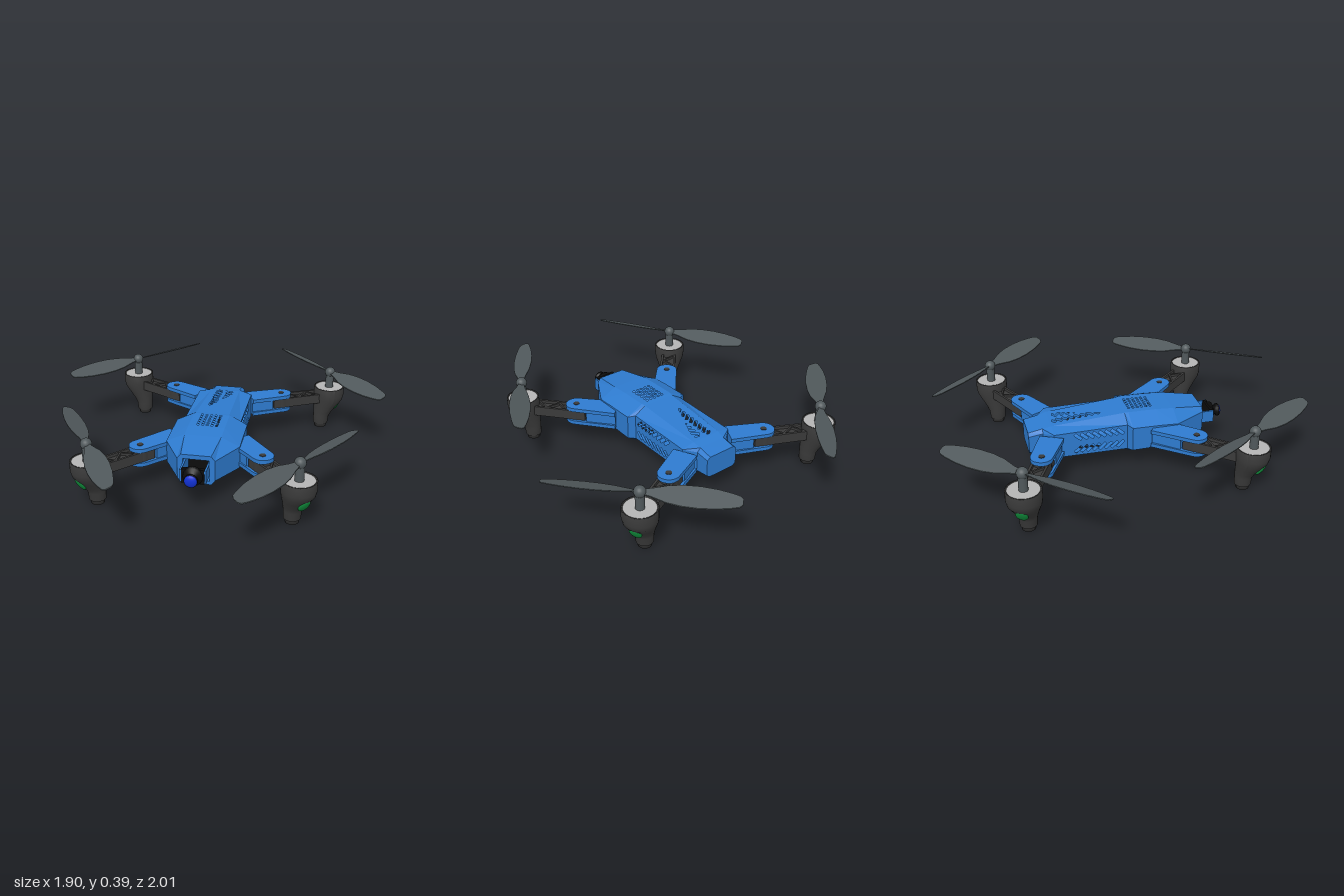
import * as THREE from 'three';

const mat = (color, opts = {}) => new THREE.MeshStandardMaterial({ color, ...opts });
const BLUE = mat(0x2e7bcf, { flatShading: true, side: THREE.DoubleSide });
const DARK = mat(0x3a3a3a);
const GREY = mat(0xb4b4b4);
const PROP = mat(0x50585b, { side: THREE.DoubleSide });
const GREEN = mat(0x0f8a3a);
const BLACK = mat(0x0c0c0c);
const LENS = mat(0x1030d0);

function add(parent, name, geo, material, x = 0, y = 0, z = 0) {
  const m = new THREE.Mesh(geo, material);
  m.name = name;
  m.position.set(x, y, z);
  parent.add(m);
  return m;
}
const poly = pts => new THREE.Shape(pts.map(p => new THREE.Vector2(p[0], p[1])));
const path = pts => new THREE.Path(pts.map(p => new THREE.Vector2(p[0], p[1])));

// Slanted slot from a to b with half width w
function slot(a, b, w) {
  const dx = b[0] - a[0], dy = b[1] - a[1], l = Math.hypot(dx, dy);
  const nx = -dy / l * w, ny = dx / l * w;
  return path([[a[0] + nx, a[1] + ny], [b[0] + nx, b[1] + ny], [b[0] - nx, b[1] - ny], [a[0] - nx, a[1] - ny]]);
}

// Extrude a plan outline (x, z) between two heights
function slab(shape, y0, y1) {
  const g = new THREE.ExtrudeGeometry(shape, { depth: y1 - y0, bevelEnabled: false, curveSegments: 16 });
  return g.rotateX(Math.PI / 2).translate(0, y1, 0);
}

// Body stations: z, top half width, side half width, top, upper shoulder, lower shoulder, bottom
const STATIONS = [
  [-0.54, 0.08, 0.10, 0.255, 0.240, 0.145, 0.130],
  [-0.46, 0.08, 0.10, 0.270, 0.250, 0.135, 0.118],
  [-0.41, 0.085, 0.16, 0.282, 0.266, 0.124, 0.108],
  [0.00, 0.095, 0.16, 0.312, 0.270, 0.120, 0.079],
  [0.02, 0.10, 0.20, 0.315, 0.266, 0.128, 0.076],
  [0.18, 0.10, 0.20, 0.312, 0.263, 0.130, 0.080],
  [0.28, 0.10, 0.20, 0.305, 0.258, 0.133, 0.087],
  [0.46, 0.08, 0.10, 0.280, 0.255, 0.140, 0.115],
];

// Vent holes of the flat panels, grouped by body segment
function topHoles(seg) {
  const holes = [];
  if (seg === 2) {
    for (let i = 0; i < 10; i++) for (const s of [-1, 1]) {
      const z = -0.378 + i * 0.035;
      holes.push(slot([s * 0.048, z], [s * 0.014, z - 0.03], 0.0075));
    }
  }
  if (seg === 4) {
    for (let i = 0; i < 5; i++) for (let j = 0; j < 6; j++) {
      const h = new THREE.Path();
      h.absarc((i - 2) * 0.026, 0.035 + j * 0.025, 0.0075, 0, Math.PI * 2);
      holes.push(h);
    }
  }
  return holes;
}
function sideHoles(seg) {
  const holes = [];
  if (seg === 2) {
    for (let i = 0; i < 8; i++) {
      const z = -0.022 - i * 0.034;
      holes.push(slot([z, 0.219], [z - 0.037, 0.253], 0.008));
      holes.push(slot([z, 0.176], [z - 0.037, 0.142], 0.008));
    }
  }
  return holes;
}

function panel(outline, holes, place) {
  const shape = poly(outline);
  shape.holes.push(...holes);
  const g = new THREE.ShapeGeometry(shape, 4), p = g.attributes.position;
  for (let i = 0; i < p.count; i++) p.setXYZ(i, ...place(p.getX(i), p.getY(i)));
  g.computeVertexNormals();
  return g;
}

function buildBody() {
  const body = new THREE.Group();
  body.name = 'body';
  for (let i = 0; i < STATIONS.length - 1; i++) {
    const a = STATIONS[i], b = STATIONS[i + 1];
    const at = (z, k) => a[k] + (b[k] - a[k]) * (z - a[0]) / (b[0] - a[0]);
    // Top and bottom panels
    for (const [name, k] of [['topPanel', 3], ['bottomPanel', 6]]) {
      const outline = [[-a[1], a[0]], [a[1], a[0]], [b[1], b[0]], [-b[1], b[0]]];
      add(body, name, panel(outline, topHoles(i), (x, z) => [x, at(z, k), z]), BLUE);
    }
    for (const s of [-1, 1]) {
      // Side panels and the sloping strips above and below
      const outline = [[a[0], a[5]], [b[0], b[5]], [b[0], b[4]], [a[0], a[4]]];
      add(body, 'sidePanel', panel(outline, sideHoles(i), (z, y) => [s * at(z, 2), y, z]), BLUE);
      for (const [kFlat, kSide] of [[3, 4], [6, 5]]) {
        const strip = panel([[0, a[0]], [1, a[0]], [1, b[0]], [0, b[0]]], [], (t, z) => [
          s * (at(z, 1) + (at(z, 2) - at(z, 1)) * t), at(z, kFlat) + (at(z, kSide) - at(z, kFlat)) * t, z]);
        add(body, 'slopedStrip', strip, BLUE);
      }
    }
  }
  // Tail cap and front frame
  const section = ([, t, w, y3, y2, y1, y0]) =>
    [[-t, y0], [t, y0], [w, y1], [w, y2], [t, y3], [-t, y3], [-w, y2], [-w, y1]];
  add(body, 'tailCap', new THREE.ShapeGeometry(poly(section(STATIONS[0]))), BLUE, 0, 0, -0.54);
  const opening = [[-0.07, 0.135], [0.07, 0.135], [0.07, 0.255], [-0.07, 0.255]];
  const frame = poly(section(STATIONS[7]));
  frame.holes.push(path(opening));
  add(body, 'frontFrame', new THREE.ShapeGeometry(frame), BLUE, 0, 0, 0.46);
  const tunnel = poly([[-0.078, 0.127], [0.078, 0.127], [0.078, 0.263], [-0.078, 0.263]]);
  tunnel.holes.push(path(opening));
  add(body, 'frontRecess', new THREE.ExtrudeGeometry(tunnel, { depth: 0.1, bevelEnabled: false }), BLUE, 0, 0, 0.359);
  add(body, 'recessBack', new THREE.BoxGeometry(0.15, 0.13, 0.01), BLACK, 0, 0.195, 0.365);
  return body;
}

function buildCamera() {
  const cam = new THREE.Group();
  cam.name = 'camera';
  for (const s of [-1, 1]) add(cam, 'cameraBracket', new THREE.BoxGeometry(0.01, 0.07, 0.17), BLUE, s * 0.065, 0.2, 0.455);
  add(cam, 'cameraHousing', new THREE.BoxGeometry(0.12, 0.08, 0.022), BLACK, 0, 0.2, 0.53);
  const profile = [[0, 0.53], [0.055, 0.53], [0.05, 0.55], [0.025, 0.565], [0.025, 0.575], [0.036, 0.58], [0.036, 0.592], [0, 0.592]];
  const barrel = new THREE.LatheGeometry(profile.map(p => new THREE.Vector2(...p)), 24).rotateX(Math.PI / 2);
  add(cam, 'cameraBarrel', barrel, BLACK, 0, 0.2, 0);
  add(cam, 'cameraLens', new THREE.SphereGeometry(0.034, 24, 16).scale(1, 1, 0.45), LENS, 0, 0.2, 0.59);
  return cam;
}

// Motor pod profile: radius, height, offset toward the body
const POD = [[0, 0, -0.045], [0.036, 0, -0.045], [0.038, 0.022, -0.045], [0.045, 0.024, -0.045], [0.048, 0.07, -0.043],
  [0.056, 0.1, -0.035], [0.073, 0.145, -0.017], [0.087, 0.18, -0.003], [0.092, 0.21, 0], [0.092, 0.262, 0], [0.083, 0.262, 0], [0.083, 0.25, 0]];

function buildPod(x) {
  const pod = new THREE.Group();
  pod.name = 'motorPod';
  pod.position.x = x;
  const g = new THREE.LatheGeometry(POD.map(p => new THREE.Vector2(p[0], p[1])), 32);
  const p = g.attributes.position;
  for (let i = 0; i < p.count; i++) p.setX(i, p.getX(i) + POD[i % POD.length][2]);
  g.computeVertexNormals();
  add(pod, 'podShell', g, DARK);
  add(pod, 'podCover', new THREE.CylinderGeometry(0.083, 0.083, 0.02, 32), GREY, 0, 0.249, 0);
  const lamp = add(pod, 'lamp', new THREE.SphereGeometry(1, 20, 14), GREEN, 0.05, 0.14, 0);
  lamp.scale.set(0.014, 0.046, 0.032);
  lamp.rotation.z = -0.55;
  add(pod, 'motorShaft', new THREE.CylinderGeometry(0.024, 0.024, 0.1, 20), PROP, 0, 0.3, 0);
  add(pod, 'propellerHub', new THREE.SphereGeometry(0.031, 20, 14), PROP, 0, 0.355, 0);
  return pod;
}

// Two opposite pitched blades; hand sets the direction of pitch
function buildPropeller(hand) {
  const prop = new THREE.Group();
  prop.name = 'propeller';
  const half = [[0.01, 0.012], [0.06, 0.022], [0.13, 0.043], [0.2, 0.053], [0.28, 0.055], [0.36, 0.049], [0.43, 0.037], [0.468, 0.027], [0.481, 0.014]];
  const outline = [...half, ...half.map(([x, w]) => [x, -w]).reverse()];
  for (const turn of [0, Math.PI]) {
    const g = slab(poly(outline), -0.003, 0.003), p = g.attributes.position;
    for (let i = 0; i < p.count; i++) p.setY(i, p.getY(i) + hand * 0.38 * p.getZ(i));
    g.computeVertexNormals();
    add(prop, 'blade', g, PROP).rotation.y = turn;
  }
  return prop;
}

// Folding arm along local +x with its hinge at the origin
function buildArm(root, reach) {
  const arm = new THREE.Group();
  arm.name = 'arm';
  const plate = new THREE.Shape();
  plate.moveTo(-root, -0.068);
  plate.lineTo(0, -0.06);
  plate.absarc(0, 0, 0.06, -Math.PI / 2, Math.PI / 2, false);
  plate.lineTo(-root, 0.068);
  add(arm, 'hingePlateTop', slab(plate, 0.23, 0.252), BLUE);
  add(arm, 'hingePlateBottom', slab(plate, 0.148, 0.17), BLUE);
  add(arm, 'armRoot', new THREE.BoxGeometry(root - 0.07, 0.064, 0.11), BLUE, -(root + 0.07) / 2, 0.2, 0);
  add(arm, 'hingePin', new THREE.CylinderGeometry(0.017, 0.017, 0.11, 16), DARK, 0, 0.2, 0);
  // Dark outer arm: floor, hinge block, two rails and diagonal ribs
  const end = reach - 0.05;
  const floor = poly([[-0.06, -0.048], [end, -0.042], [end, 0.042], [-0.06, 0.048]]);
  add(arm, 'outerArm', slab(floor, 0.172, 0.212), DARK);
  add(arm, 'hingeBlock', new THREE.CylinderGeometry(0.05, 0.05, 0.056, 24), DARK, 0, 0.2, 0);
  for (const s of [-1, 1]) {
    const rail = poly([[-0.06, s * 0.036], [end, s * 0.03], [end, s * 0.043], [-0.06, s * 0.049]]);
    add(arm, 'armRail', slab(rail, 0.172, 0.229), DARK);
  }
  for (let i = 0; i < 3; i++) {
    const rib = add(arm, 'armRib', new THREE.BoxGeometry(0.095, 0.02, 0.01), DARK, 0.08 + i * 0.06, 0.216, 0);
    rib.rotation.y = i % 2 ? 0.75 : -0.75;
  }
  arm.add(buildPod(reach));
  return arm;
}

export function createModel() {
  const model = new THREE.Group();
  model.name = 'quadcopter';
  model.add(buildBody(), buildCamera());
  // Hinge, motor, root length, blade direction and pitch of the front and rear arms
  const arms = [
    { name: 'front', hinge: [0.33, 0.34], motor: [0.542, 0.58], root: 0.24, blade: [0.52, -0.855], hand: 1 },
    { name: 'rear', hinge: [0.33, -0.51], motor: [0.615, -0.65], root: 0.2, blade: [0.67, 0.74], hand: -1 },
  ];
  for (const a of arms) for (const s of [1, -1]) {
    const dx = a.motor[0] - a.hinge[0], dz = a.motor[1] - a.hinge[1];
    const arm = buildArm(a.root, Math.hypot(dx, dz));
    arm.name = a.name + (s > 0 ? 'LeftArm' : 'RightArm');
    arm.position.set(s * a.hinge[0], 0, a.hinge[1]);
    arm.rotation.y = Math.atan2(-dz, s * dx);
    const prop = buildPropeller(a.hand * s);
    prop.position.set(s * a.motor[0], 0.355, a.motor[1]);
    prop.rotation.y = Math.atan2(-a.blade[1], s * a.blade[0]);
    model.add(arm, prop);
  }
  return model;
}
